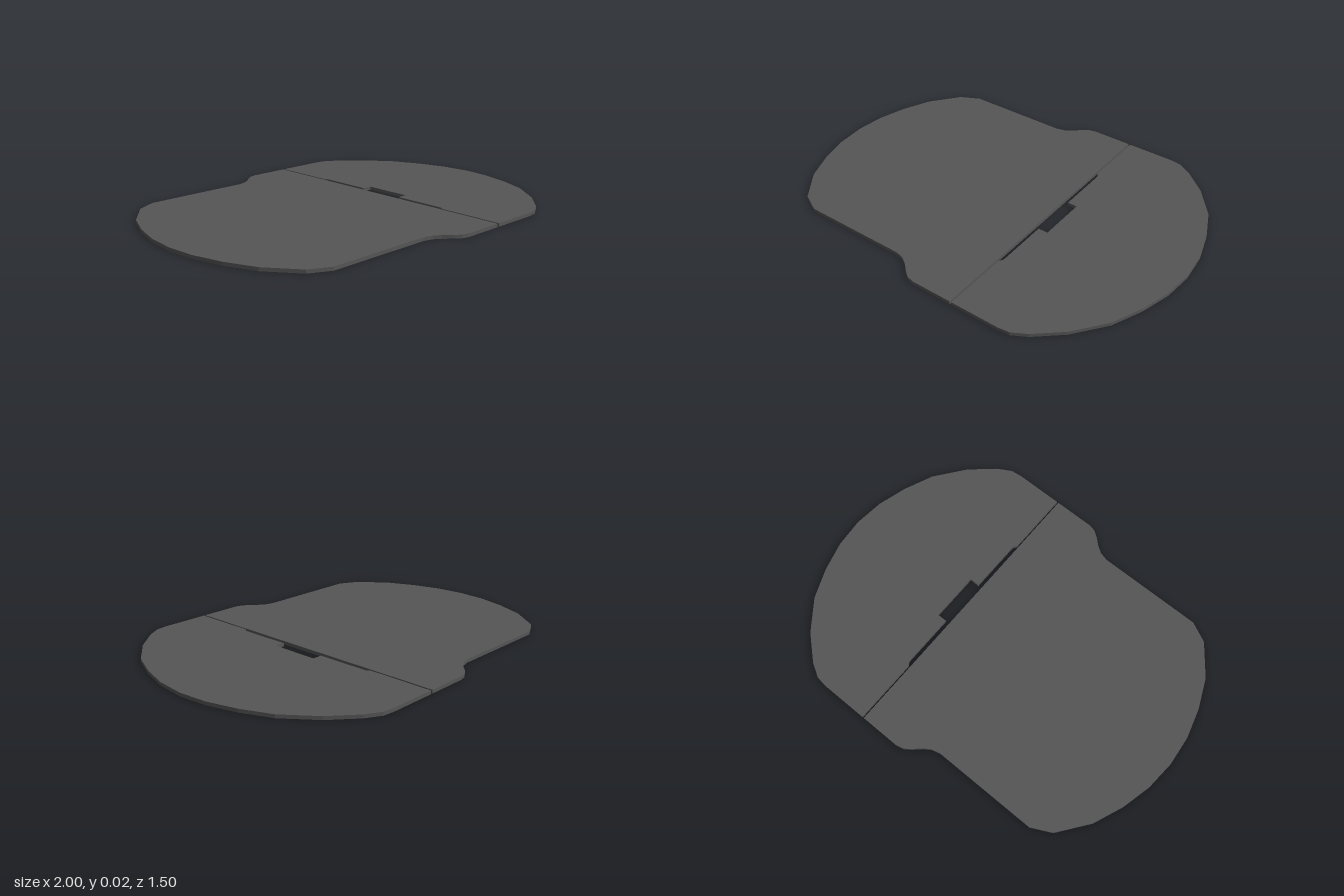
import * as THREE from 'three';

const THICKNESS = 0.017;

// Flat board, symmetric in z: half outlines are given as [x, z] with z >= 0
function board(name, half, material) {
  const mirrored = half.filter(([, z]) => z > 0).map(([x, z]) => [x, -z]).reverse();
  const outline = [...half, ...mirrored].map(([x, z]) => new THREE.Vector2(x, z));
  const geometry = new THREE.ExtrudeGeometry(new THREE.Shape(outline), {
    depth: THICKNESS, bevelEnabled: false,
  });
  geometry.rotateX(-Math.PI / 2); // lay flat, standing on y = 0
  const mesh = new THREE.Mesh(geometry, material);
  mesh.name = name;
  return mesh;
}

export function createModel() {
  const group = new THREE.Group();
  group.name = 'splitBoard';
  const material = new THREE.MeshStandardMaterial({ color: 0x555555, flatShading: true });

  // Large board: rounded end, straight sides, flared shoulder, straight joint edge
  group.add(board('largeBoard', [
    [-1, 0], [-0.987, 0.15], [-0.948, 0.3], [-0.885, 0.45], [-0.77, 0.6], [-0.67, 0.65],
    [-0.13, 0.65], [-0.085, 0.662], [-0.05, 0.685], [-0.01, 0.722], [0.02, 0.743], [0.055, 0.752],
    [0.265, 0.752],
  ], material));

  // Small board: rounded end, relieved joint edge with a central handle notch
  group.add(board('smallBoard', [
    [1, 0], [0.986, 0.15], [0.944, 0.3], [0.88, 0.45], [0.765, 0.6], [0.645, 0.705],
    [0.575, 0.745], [0.52, 0.752], [0.275, 0.752],
    [0.275, 0.42], [0.288, 0.4], [0.288, 0.125], [0.338, 0.125],
  ], material));

  return group;
}
